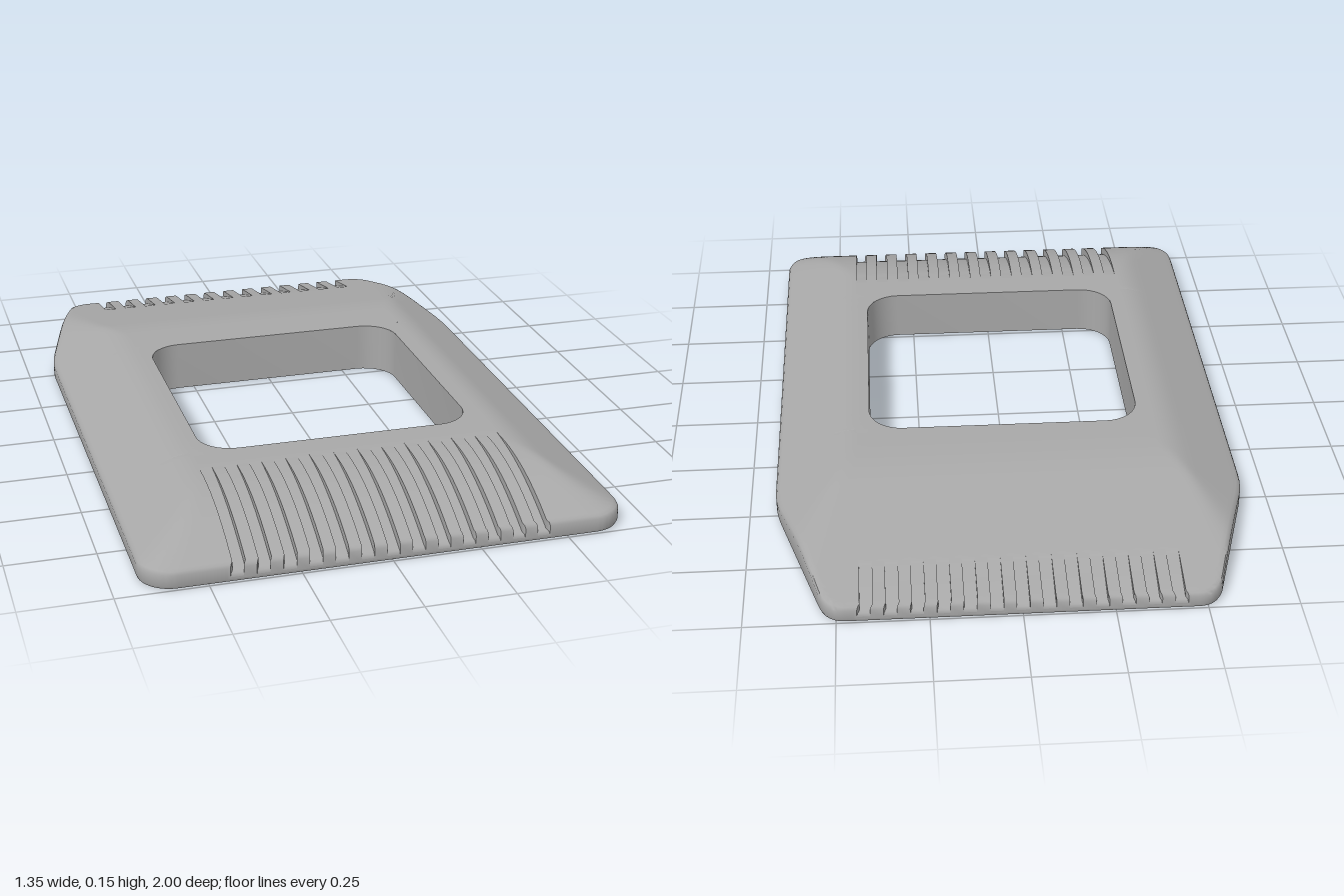
import * as THREE from 'three';
import { toCreasedNormals } from 'three/addons/utils/BufferGeometryUtils.js';

const TOP = 0.15, INSET = 0.012;
const HOLE = { x: 0.4, back: -0.29, front: 0.515, r: 0.1 };

// flat, then a rounded bend between a and b, then a straight fall of slope s
function bend(u, a, b, s) {
  if (u < a) return 0;
  return u < b ? s * (u - a) ** 2 / (2 * (b - a)) : s * (u - (a + b) / 2);
}

// height of the upper surface, with tapering grooves at both ends
function height(x, z, inGroove) {
  const front = z > 0.65 ? 0.816 * (z - 0.65) ** 2 : 0;
  const back = bend(-z, 0.4, 0.56, 0.19);
  const side = bend(Math.abs(x), 0.44, 0.52, 0.5);
  const drop = (front ** 5 + back ** 5 + side ** 5) ** 0.2;
  let groove = 0;
  if (inGroove && z > 0.61) groove = 0.026 * Math.sin((z - 0.61) / 0.39 * Math.PI / 2);
  if (inGroove && z < -0.84) groove = 0.022 * (-z - 0.84) / 0.16;
  return TOP - drop - groove;
}

// right half of the plan outline, from back to front, as [x, z]
function halfOutline() {
  const p = new THREE.Path();
  p.moveTo(0.475, -1);
  p.quadraticCurveTo(0.53, -1, 0.548, -0.935);
  p.lineTo(0.658, -0.56);
  p.quadraticCurveTo(0.675, -0.5, 0.675, -0.44);
  p.lineTo(0.675, 0.91);
  p.absarc(0.585, 0.91, 0.09, 0, Math.PI / 2, false);
  return p.getPoints(10).map(v => [v.x, v.y]);
}

const inset = ([x, z], i) => [x * (1 - i / 0.675), z * (1 - i)];

// half width of the hole at z
function holeHalf(z) {
  const mid = (HOLE.front + HOLE.back) / 2, straight = (HOLE.front - HOLE.back) / 2 - HOLE.r;
  const d = Math.max(0, Math.abs(z - mid) - straight);
  return HOLE.x - HOLE.r + Math.sqrt(Math.max(0, HOLE.r ** 2 - d * d));
}

// triangles between rows of points; faces point along rowDirection x columnDirection
function addGrid(out, rows) {
  const tri = (a, b, c) => {
    const n = b.clone().sub(a).cross(c.clone().sub(a));
    if (n.lengthSq() > 1e-16) for (const p of [a, b, c]) out.push(p.x, p.y, p.z);
  };
  for (let r = 0; r + 1 < rows.length; r++) {
    for (let c = 0; c + 1 < rows[r].length; c++) {
      const a = rows[r][c], b = rows[r + 1][c], d = rows[r][c + 1], e = rows[r + 1][c + 1];
      tri(a, b, e);
      tri(a, e, d);
    }
  }
}

function geometryFrom(points) {
  const g = new THREE.BufferGeometry();
  g.setAttribute('position', new THREE.Float32BufferAttribute(points, 3));
  return toCreasedNormals(g, 0.65);
}

const uniqueSorted = list => list.sort((a, b) => a - b).filter((v, i, l) => i === 0 || v - l[i - 1] > 1e-5);

export function createModel() {
  const group = new THREE.Group();
  const grey = new THREE.MeshStandardMaterial({ color: 0xa8a8a8 });
  grey.name = 'grey';
  const add = (name, geometry) => {
    const mesh = new THREE.Mesh(geometry, grey);
    mesh.name = name;
    group.add(mesh);
  };

  const outline = halfOutline();
  const edge = outline.map(p => inset(p, INSET));
  const width = z => {
    for (let i = 0; i + 1 < edge.length; i++) {
      const [x0, z0] = edge[i], [x1, z1] = edge[i + 1];
      if (z <= z1 + 1e-9 && z1 > z0) return x0 + (x1 - x0) * Math.max(0, (z - z0) / (z1 - z0));
    }
    return edge[edge.length - 1][0];
  };

  // rows along z
  const holeZs = [];
  for (let i = 0; i <= 8; i++) {
    const d = HOLE.r * (1 - Math.cos(i / 8 * Math.PI / 2));
    holeZs.push(HOLE.back + d, HOLE.front - d);
  }
  const end = 1 - INSET, zs = [...edge.map(p => p[1]), ...holeZs, 0.61, -0.84];
  for (let i = 0; i <= 70; i++) zs.push(-end + 2 * end * i / 70);
  uniqueSorted(zs);
  const rowsZ = uniqueSorted(zs);

  // columns of one full row: sides follow the outline, grooves stay straight
  const fullRow = z => {
    const w = width(z), row = [], N = 12, start = 0.445;
    const point = (x, flag) => new THREE.Vector3(x, height(x, z, flag), z);
    for (let i = 0; i <= N; i++) row.push(point(-w + (w - start) * i / N, false));
    for (let i = 0; i < 13; i++) {
      const c = (i - 6) * 0.0698, h = 0.0175;
      row.push(point(c - h, false), point(c - h, true), point(c + h, true), point(c + h, false));
    }
    for (let i = 0; i <= N; i++) row.push(point(start + (w - start) * i / N, false));
    return row;
  };

  // upper surface: front and back panels, then the two side rails
  const frontRows = rowsZ.filter(z => z >= HOLE.front - 1e-4).map(fullRow);
  const backRows = rowsZ.filter(z => z <= HOLE.back + 1e-4).map(fullRow);
  const midZ = rowsZ.filter(z => z >= HOLE.back - 1e-4 && z <= HOLE.front + 1e-4);
  const top = [];
  addGrid(top, frontRows);
  addGrid(top, backRows);
  for (const s of [1, -1]) {
    addGrid(top, midZ.map(z => {
      const h = holeHalf(z), w = width(z), row = [];
      for (let i = 0; i <= 20; i++) {
        const x = s * (h + (w - h) * i / 20);
        row.push(new THREE.Vector3(x, height(x, z, false), z));
      }
      return s > 0 ? row : row.reverse();
    }));
  }

  // rounded rim and lower chamfer, following the edge of the upper surface
  const sideLine = s => rowsZ.map(z => new THREE.Vector3(s * width(z), height(width(z), z, false), z));
  const loop = [
    ...frontRows[frontRows.length - 1], ...sideLine(1).reverse(),
    ...backRows[0].slice().reverse(), ...sideLine(-1),
  ];
  const ring = (i, y) => loop.map(p => {
    const k = 1 - INSET;
    const [x, z] = inset([p.x / (1 - INSET / 0.675), p.z / k], i);
    return new THREE.Vector3(x, y(p.y), z);
  });
  addGrid(top, [
    ring(INSET, y => y), ring(0.004, y => y - 0.005), ring(0, y => y - 0.014),
    ring(0, () => 0.012), ring(0.003, () => 0.004), ring(0.01, () => 0),
  ]);
  add('body', geometryFrom(top));

  // wall of the central opening
  const hz = uniqueSorted(holeZs);
  const right = hz.map(z => [holeHalf(z), z]);
  const holeLoop = [...right, ...right.map(([x, z]) => [-x, z]).reverse()];
  const wall = [];
  const closed = [...holeLoop, holeLoop[0]];
  addGrid(wall, [
    closed.map(([x, z]) => new THREE.Vector3(x, height(x, z, false), z)),
    closed.map(([x, z]) => new THREE.Vector3(x, 0, z)),
  ]);
  add('openingWall', geometryFrom(wall));

  // flat underside
  const toVec = ([x, z]) => new THREE.Vector2(x, z);
  const half = outline.map(p => inset(p, 0.01));
  const base = new THREE.Shape([...half, ...half.map(([x, z]) => [-x, z]).reverse()].map(toVec));
  base.holes.push(new THREE.Path(holeLoop.map(toVec)));
  add('underside', new THREE.ShapeGeometry(base).rotateX(Math.PI / 2));

  return group;
}
